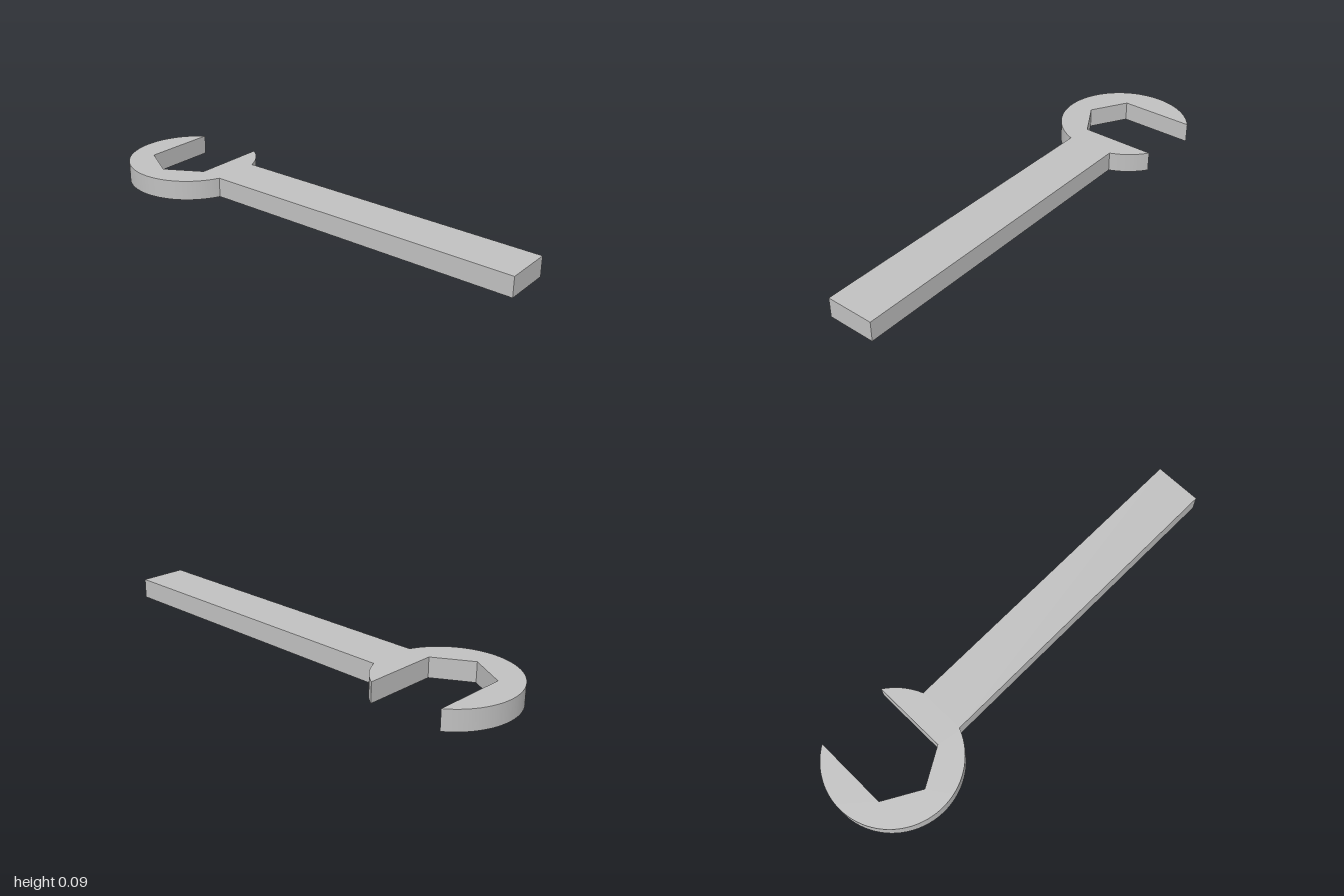
import * as THREE from 'three';
import { toCreasedNormals } from 'three/addons/utils/BufferGeometryUtils.js';

const THICKNESS = 0.087;
const CX = 0.024, CY = 0.712;   // centre of the head (shape y = -z)
const RADIUS = 0.288;           // outer radius of the head
const HEX = 0.185;              // corner radius of the hexagonal jaw
const HALF_HANDLE = 0.105;

export function createModel() {
  const group = new THREE.Group();
  group.name = 'openEndWrench';
  const steel = new THREE.MeshStandardMaterial({ color: 0xc0c0c0 });
  steel.name = 'steel grey';

  const halfGap = HEX * Math.sin(Math.PI / 3);
  const tip = Math.asin(halfGap / RADIUS);         // angle of the jaw tips
  const neck = Math.acos(HALF_HANDLE / RADIUS);    // angle where the handle joins

  const outline = new THREE.Shape();
  // near jaw, from its tip to the handle
  outline.absarc(CX, CY, RADIUS, -tip, -neck, true);
  // straight handle
  outline.lineTo(CX + HALF_HANDLE, -1);
  outline.lineTo(CX - HALF_HANDLE, -1);
  // round back of the head, up to the far jaw tip
  outline.absarc(CX, CY, RADIUS, neck - Math.PI, tip - 2 * Math.PI, true);
  // hexagonal mouth
  for (const k of [2, 3, 4]) {
    const a = k * Math.PI / 3;
    outline.lineTo(CX + HEX * Math.cos(a), CY + HEX * Math.sin(a));
  }
  outline.closePath();

  const solid = new THREE.ExtrudeGeometry(outline, {
    depth: THICKNESS, bevelEnabled: false, curveSegments: 64,
  });
  solid.rotateX(-Math.PI / 2);

  const wrench = new THREE.Mesh(toCreasedNormals(solid, 0.4), steel);
  wrench.name = 'headAndHandle';
  group.add(wrench);
  return group;
}
